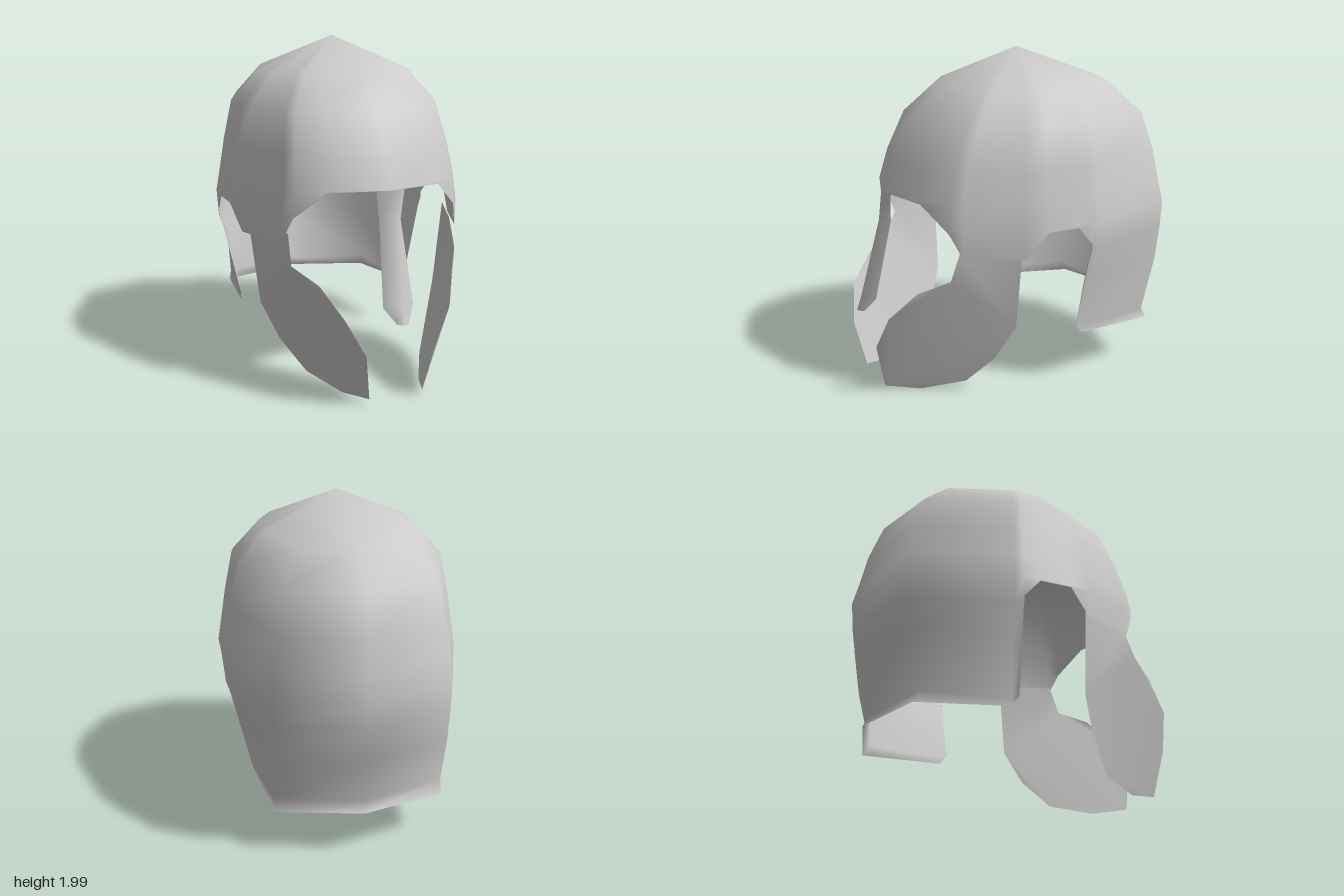
import * as THREE from 'three';
import { mergeVertices } from 'three/addons/utils/BufferGeometryUtils.js';

const material = new THREE.MeshStandardMaterial({ color: 0xcccccc, side: THREE.DoubleSide });

function makeMesh(name, points, index) {
  let geo = new THREE.BufferGeometry();
  geo.setAttribute('position', new THREE.Float32BufferAttribute(points.flat(), 3));
  // drop collapsed triangles, then weld so the normals are smooth
  const same = (a, b) => points[a].every((v, i) => Math.abs(v - points[b][i]) < 1e-5);
  geo.setIndex(index.filter(([a, b, c]) => !same(a, b) && !same(b, c) && !same(a, c)).flat());
  geo = mergeVertices(geo, 1e-4);
  geo.computeVertexNormals();
  const mesh = new THREE.Mesh(geo, material);
  mesh.name = name;
  return mesh;
}

// Grid of quads between successive cross-sections
function gridIndex(rows, cols) {
  const index = [];
  for (let r = 0; r < rows - 1; r++) {
    for (let c = 0; c < cols - 1; c++) {
      const a = r * cols + c, d = a + cols;
      index.push([a, a + 1, d + 1], [a, d + 1, d]);
    }
  }
  return index;
}

// Bowl levels: height, width scale, front depth scale, back depth scale
const LEVELS = [
  [2.0, 0, 0, 0],
  [1.8, 0.63, 0.53, 0.61],
  [1.61, 0.86, 0.79, 0.83],
  [1.38, 0.925, 0.93, 0.92],
  [1.2, 0.965, 1, 0.96],
  [1.05, 1, 1.01, 1],
  [0.89, 0.985, 1, 0.985],
  [0.68, 0.89, 1, 0.95],
  [0.36, 0.81, 1, 0.84],
  [0.29, 0.81, 1, 0.885],
];

// Half plan from back to front: x, z, height of the lower edge
const HALF_PLAN = [
  [0, -1, 0.3],
  [0.5, -0.84, 0.29],
  [0.705, -0.25, 0.32],
  [0.715, -0.2, 0.38],
  [0.715, -0.2, 0.93],
  [0.715, -0.1, 1.04],
  [0.715, 0.09, 1.04],
  [0.69, 0.22, 0.89],
  [0.55, 0.54, 0.89],
  [0.5, 0.6, 1.04],
  [0.35, 0.71, 1.19],
  [0, 0.82, 1.2],
];

function scalesAt(y) {
  let i = 0;
  while (i < LEVELS.length - 2 && LEVELS[i + 1][0] > y) i++;
  const p = LEVELS[i], q = LEVELS[i + 1];
  const t = (p[0] - y) / (p[0] - q[0]);
  return [1, 2, 3].map((k) => THREE.MathUtils.lerp(p[k], q[k], t));
}

// Bowl with neck guard, each column stopping at its own lower edge
function createBowl() {
  const mirrored = HALF_PLAN.slice(0, -1).reverse().map(([x, z, b]) => [-x, z, b]);
  const plan = [...HALF_PLAN, ...mirrored];
  const points = [];
  for (const [level] of LEVELS) {
    for (const [x, z, bottom] of plan) {
      const y = Math.max(level, bottom);
      const [sx, front, back] = scalesAt(y);
      const width = y < 1 && Math.abs(x) < 0.6 ? 1 : sx;
      const centre = y > 1.9 ? -0.07 : -0.05;
      points.push([x * width, y, centre + (z + 0.05) * (z > -0.05 ? front : back)]);
    }
  }
  return makeMesh('bowl', points, gridIndex(LEVELS.length, plan.length));
}

// Ridged strip: height, half width, ridge z, edge z
function createNoseGuard() {
  const sections = [
    [1.2, 0.085, 0.82, 0.793],
    [1.03, 0.065, 0.84, 0.79],
    [0.57, 0.092, 0.97, 0.91],
    [0.485, 0.035, 1.0, 0.97],
  ];
  const points = sections.flatMap(([y, w, ridge, edge]) => [[w, y, edge], [0, y, ridge], [-w, y, edge]]);
  return makeMesh('noseGuard', points, gridIndex(sections.length, 3));
}

// Cheek plate outline, hung just inside the bowl
function createCheekGuard(name, side) {
  const outline = [
    [0.51, 0.94, 0.545], [0.515, 0.77, 0.61], [0.41, 0.69, 0.77], [0.32, 0.53, 0.915],
    [0.21, 0.32, 0.96], [0.165, 0.04, 0.9], [0.245, 0.01, 0.7], [0.375, 0.065, 0.46],
    [0.49, 0.235, 0.32], [0.58, 0.45, 0.23], [0.64, 0.95, 0.22],
  ];
  const flat = outline.map(([, y, z]) => new THREE.Vector2(-z, y));
  const faces = THREE.ShapeUtils.triangulateShape(flat, []);
  const index = faces.map(([a, b, c]) => (side > 0 ? [a, b, c] : [a, c, b]));
  return makeMesh(name, outline.map(([x, y, z]) => [x * side, y, z]), index);
}

export function createModel() {
  const helmet = new THREE.Group();
  helmet.name = 'helmet';
  helmet.add(
    createBowl(),
    createNoseGuard(),
    createCheekGuard('leftCheekGuard', 1),
    createCheekGuard('rightCheekGuard', -1),
  );
  return helmet;
}
